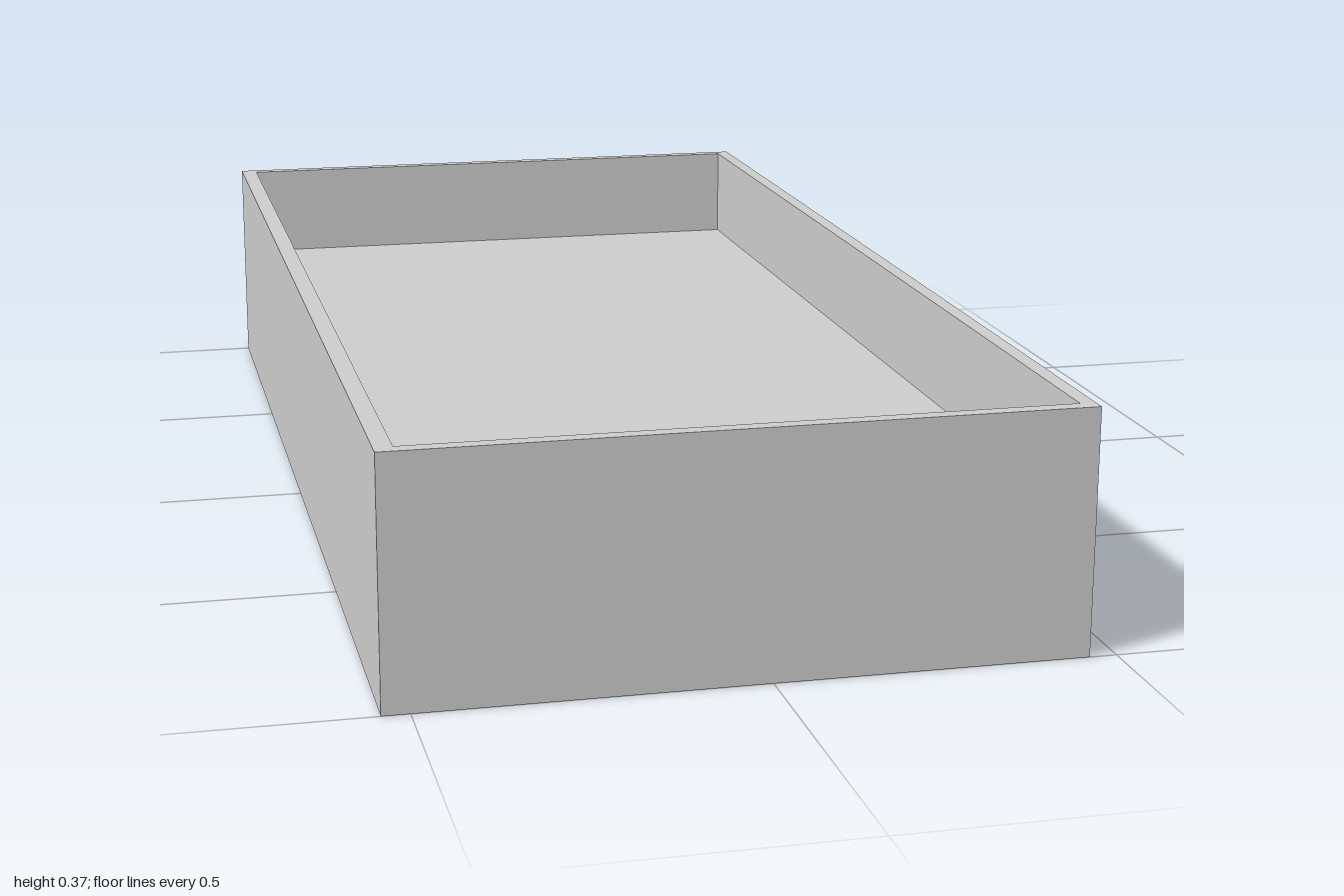
import * as THREE from 'three';

const material = new THREE.MeshStandardMaterial({ color: 0xcccccc, flatShading: true });

const HEIGHT = 0.365, FLOOR_TOP = 0.205;
const OUTER = [-0.54, 0.46, -1, 1];           // x0, x1, z0, z1
const INNER = [-0.513, 0.437, -0.98, 0.978];

const toPoints = (pairs) => pairs.map(([x, z]) => new THREE.Vector2(x, z));
const rectangle = ([x0, x1, z0, z1]) => toPoints([[x0, z0], [x1, z0], [x1, z1], [x0, z1]]);

// Extrudes an outline drawn in plan (x, z) from height y0 up to y1
function slab(name, shape, y0, y1) {
  const geometry = new THREE.ExtrudeGeometry(shape, { depth: y1 - y0, bevelEnabled: false });
  geometry.rotateX(Math.PI / 2).translate(0, y1, 0);
  const mesh = new THREE.Mesh(geometry, material);
  mesh.name = name;
  return mesh;
}

export function createModel() {
  const group = new THREE.Group();
  group.name = 'drawer';

  // Four thin walls as one frame
  const frame = new THREE.Shape(rectangle(OUTER));
  frame.holes.push(new THREE.Path(rectangle(INNER)));
  group.add(slab('walls', frame, 0, HEIGHT));

  // Thick raised floor inside the walls
  group.add(slab('floor', new THREE.Shape(rectangle(INNER)), 0, FLOOR_TOP));

  // Bracket handle with chamfered outer corners
  const handle = new THREE.Shape(toPoints([
    [0.46, -0.465], [0.517, -0.465], [0.54, -0.442], [0.54, 0.607],
    [0.517, 0.63], [0.46, 0.63], [0.46, 0.56], [0.49, 0.56],
    [0.49, -0.39], [0.46, -0.39],
  ]));
  group.add(slab('handle', handle, 0.176, 0.235));

  return group;
}
